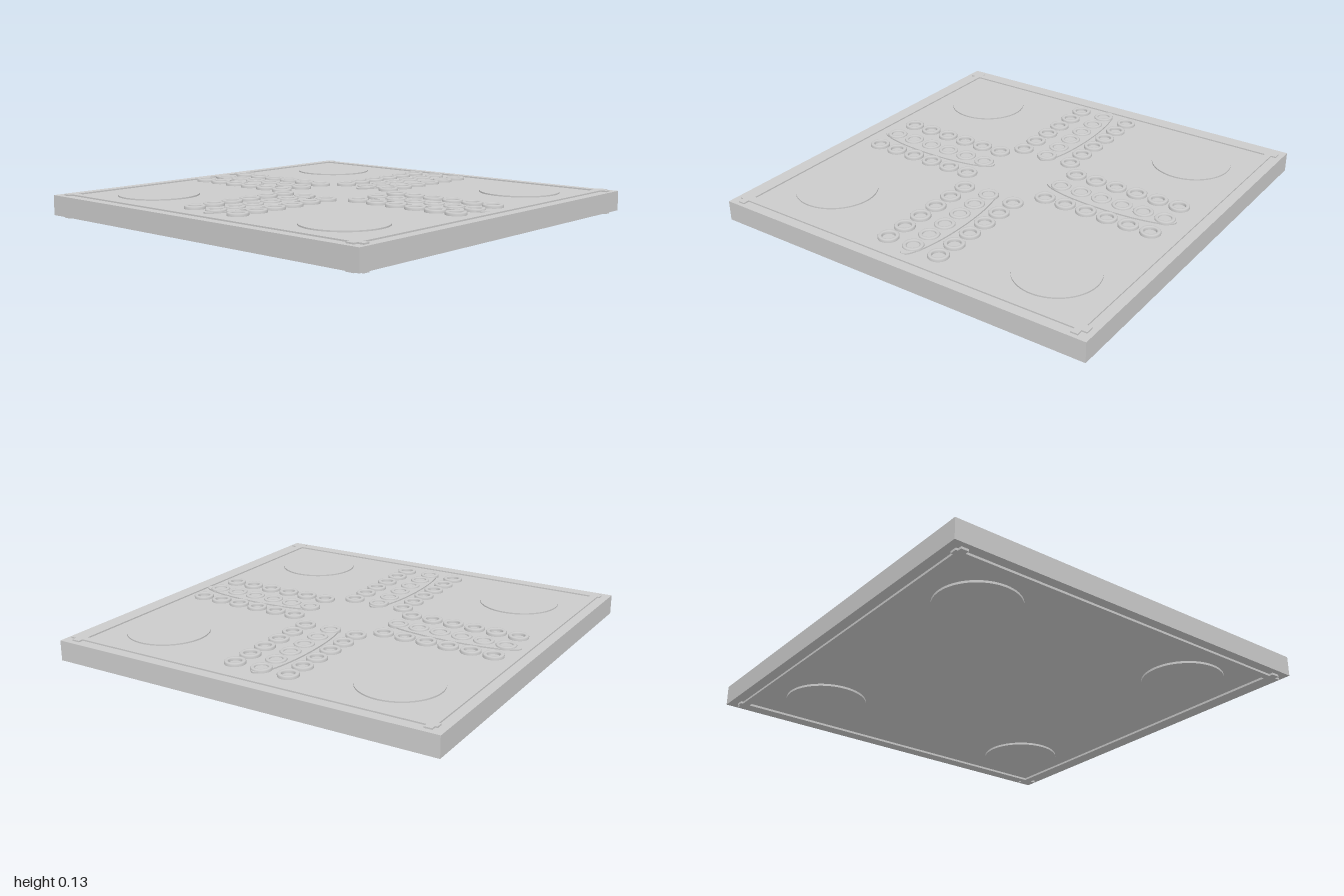
import * as THREE from 'three';

export function createModel() {
  const board = new THREE.Group();
  board.name = 'gameBoard';
  const grey = new THREE.MeshStandardMaterial({ color: 0xcccccc });
  const bottom = 0.015, deck = 0.115, inlayLow = 0.004, inlayHigh = 0.122;

  const add = (name, geometry, x, y, z) => {
    const mesh = new THREE.Mesh(geometry, grey);
    mesh.name = name;
    mesh.position.set(x, y, z);
    board.add(mesh);
    return mesh;
  };

  // Square slab
  add('slab', new THREE.BoxGeometry(2, deck - bottom, 2), 0, (deck + bottom) / 2, 0);

  // Border strips, standing proud of the slab above and below
  const inlayHeight = inlayHigh - inlayLow, inlayMid = (inlayHigh + inlayLow) / 2;
  const strip = (name, x0, x1, z0, z1) =>
    add(name, new THREE.BoxGeometry(x1 - x0, inlayHeight, z1 - z0), (x0 + x1) / 2, inlayMid, (z0 + z1) / 2);
  strip('backStrip', -0.973, 0.973, -0.949, -0.912);
  strip('frontStrip', -0.973, 0.973, 0.907, 0.949);
  strip('rightStrip', -0.952, -0.918, -0.96, 0.98);
  strip('leftStrip', 0.914, 0.948, -0.96, 0.98);

  // Corner discs, through the slab
  const disc = new THREE.CylinderGeometry(0.2, 0.2, inlayHeight, 64);
  for (const [x, z] of [[-0.644, -0.623], [0.636, -0.623], [-0.655, 0.617], [0.636, 0.644]])
    add('cornerDisc', disc, x, inlayMid, z);

  // Oval lane under the middle row of each arm
  const oval = new THREE.CylinderGeometry(1, 1, inlayHigh - bottom - 0.01, 64);
  const ovalY = (inlayHigh + bottom + 0.01) / 2;
  for (const [x, z, rx, rz] of [
    [-0.006, -0.556, 0.077, 0.352], [-0.006, 0.553, 0.077, 0.352],
    [-0.524, -0.016, 0.353, 0.079], [0.51, -0.016, 0.353, 0.079],
  ]) add('laneOval', oval, x, ovalY, z).scale.set(rx, 1, rz);

  // Ring spaces: three rows of six on each arm
  const ringProfile = [[0.05, 0.11], [0.05, 0.125], [0.046, 0.13], [0.034, 0.13], [0.03, 0.125], [0.03, 0.11]];
  const ring = new THREE.LatheGeometry(ringProfile.map(([r, y]) => new THREE.Vector2(r, y)).reverse(), 32);
  ring.scale(1, 1, 1);
  const ringMaterial = grey.clone();
  ringMaterial.side = THREE.DoubleSide;
  for (let step = 0; step < 6; step++) {
    for (let row = -1; row <= 1; row++) {
      const across = row * 0.143, along = step * 0.1143;
      for (const [x, z] of [
        [across - 0.007, -0.831 + along], [across - 0.007, 0.254 + along],
        [-0.805 + along, across - 0.02], [0.233 + along, across - 0.02],
      ]) add('ringSpace', ring, x, 0, z).material = ringMaterial;
    }
  }
  return board;
}
